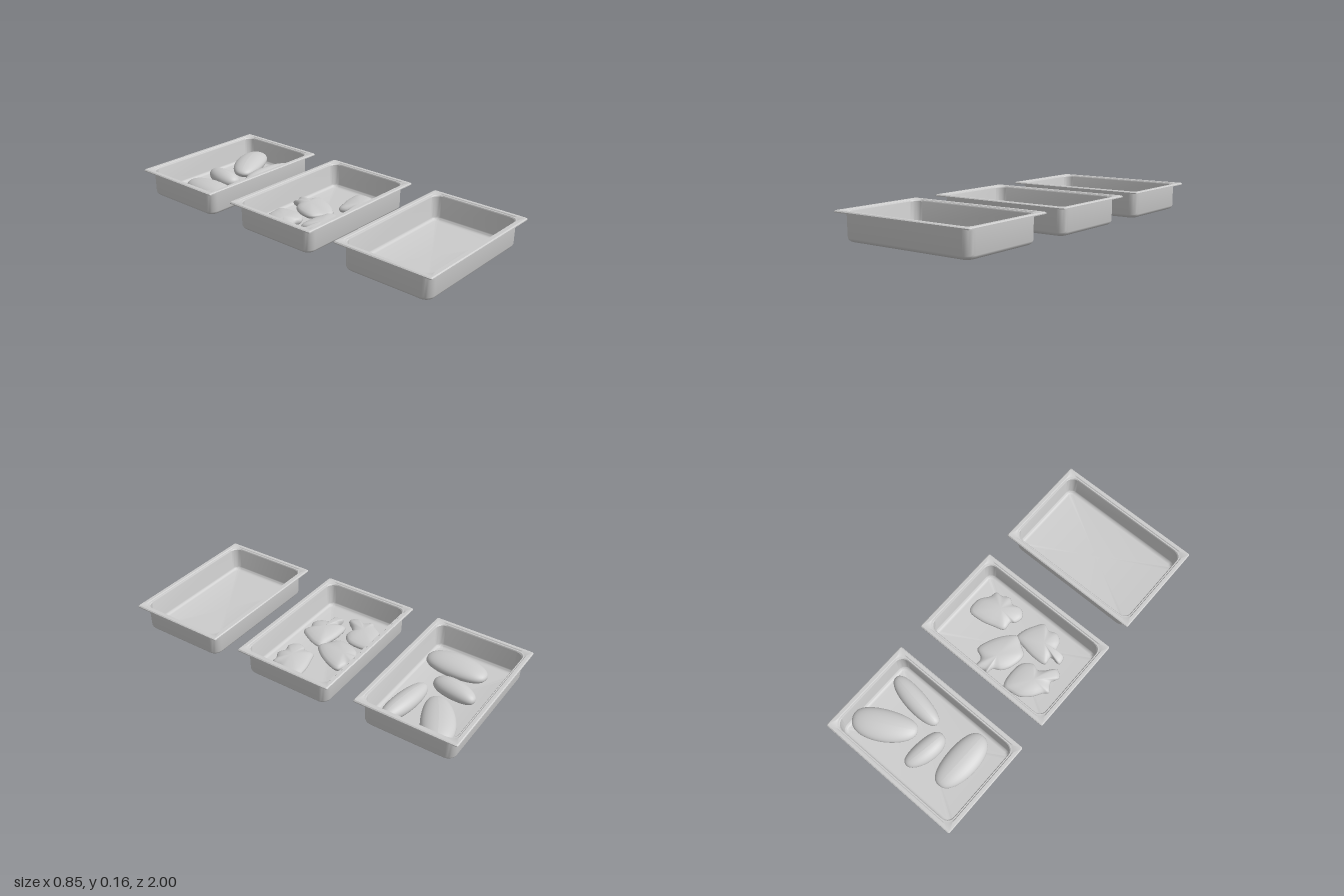
import * as THREE from 'three';
import { mergeVertices, toCreasedNormals } from 'three/addons/utils/BufferGeometryUtils.js';

const HALF_X = 0.425, HALF_Z = 0.283, SPACING = 0.717, FLOOR = 0.006;
const grey = new THREE.MeshStandardMaterial({ color: 0xcccccc });

function addMesh(parent, name, geometry) {
  const mesh = new THREE.Mesh(geometry, grey);
  mesh.name = name;
  parent.add(mesh);
  return mesh;
}

// Skin a stack of equal-length loops, each running counter-clockwise from above
function loft(loops) {
  const n = loops[0].length, index = [];
  for (let k = 0; k < loops.length - 1; k++) {
    for (let i = 0; i < n; i++) {
      const j = (i + 1) % n, a = k * n + i, b = k * n + j;
      if (k > 0) index.push(a, b, b + n);
      if (k < loops.length - 2) index.push(a, b + n, a + n);
      else if (k === 0) index.push(a, b, b + n);
    }
  }
  // the first loop is a single point
  for (let i = 0; i < n; i++) index.push(i, n + (i + 1) % n, n + i);
  const geometry = new THREE.BufferGeometry().setFromPoints(loops.flat());
  geometry.setIndex(dedupe(index));
  const merged = mergeVertices(geometry, 1e-5);
  merged.computeVertexNormals();
  return merged;
}

// Drop repeated triangles
function dedupe(index) {
  const seen = new Set(), out = [];
  for (let i = 0; i < index.length; i += 3) {
    const tri = index.slice(i, i + 3), key = [...tri].sort((p, q) => p - q).join();
    if (!seen.has(key)) out.push(...tri);
    seen.add(key);
  }
  return out;
}

// Rounded rectangle, inset from the rim edge
function rectLoop(inset, y, radius, steps = 8) {
  const loop = [], cx = HALF_X - inset - radius, cz = HALF_Z - inset - radius;
  [[1, 1], [-1, 1], [-1, -1], [1, -1]].forEach(([sx, sz], q) => {
    for (let i = 0; i <= steps; i++) {
      const t = (q + i / steps) * Math.PI / 2;
      loop.push(new THREE.Vector3(sx * cx + radius * Math.cos(t), y, -sz * cz - radius * Math.sin(t)));
    }
  });
  return loop;
}

// Thin pan: outside upwards, over the stepped rim, down the inside
function panGeometry() {
  const outer = [], inner = [];
  for (let i = 0; i <= 6; i++) {
    const t = i / 6 * Math.PI / 2, s = 1 - Math.sin(t), c = 1 - Math.cos(t);
    outer.push(rectLoop(0.031 + 0.028 * s, 0.028 * c, 0.05 - 0.025 * s));
    inner.unshift(rectLoop(0.037 + 0.024 * s, FLOOR + 0.024 * c, 0.045 - 0.022 * s));
  }
  const rim = [
    [0.03, 0.145, 0.05], [0, 0.145, 0.008], [0, 0.15, 0.008], [0.005, 0.155, 0.008],
    [0.022, 0.155, 0.035], [0.026, 0.15, 0.045], [0.032, 0.15, 0.045], [0.036, 0.144, 0.045],
  ].map(([d, y, r]) => rectLoop(d, y, r));
  const point = (y) => outer[0].map(() => new THREE.Vector3(0, y, 0));
  return toCreasedNormals(loft([point(0), ...outer, ...rim, ...inner, point(FLOOR)]), 0.6);
}

// Blunt oval, tapered and slightly bent along x
function ovalGeometry(length, height, width, taper, bend) {
  const geometry = new THREE.SphereGeometry(1, 32, 24).rotateZ(-Math.PI / 2);
  const p = geometry.attributes.position;
  for (let i = 0; i < p.count; i++) {
    const x = p.getX(i), r = Math.sqrt(Math.max(1 - x * x, 1e-6));
    const fat = Math.pow(r, -0.2) * (1 + taper * x);
    p.setXYZ(i, x * length, p.getY(i) * fat * height, p.getZ(i) * fat * width + bend * (x * x - 0.4));
  }
  geometry.computeVertexNormals();
  return geometry;
}

// Flat, pillowy piece from an outline in hundredths of a unit
function pieceGeometry(outline) {
  const pts = outline.map(([x, z]) => new THREE.Vector3(x / 100, 0, z / 100)).reverse();
  const ring = new THREE.CatmullRomCurve3(pts, true, 'centripetal').getPoints(72).slice(0, -1);
  const centre = new THREE.Vector3();
  ring.forEach((v) => centre.addScaledVector(v, 1 / ring.length));
  const levels = [[0, 0], [0.8, 0.001], [0.94, 0.008], [1, 0.019], [0.97, 0.028],
    [0.88, 0.036], [0.7, 0.043], [0.45, 0.048], [0.2, 0.05], [0, 0.05]];
  return loft(levels.map(([s, y]) => ring.map((v) => {
    const q = centre.clone().lerp(v, s);
    q.y = FLOOR + y;
    return q;
  })));
}

export function createModel() {
  const model = new THREE.Group();
  model.name = 'foodPans';

  // Three identical pans in a row
  const pan = panGeometry();
  const [backTray, middleTray, frontTray] = ['back', 'middle', 'front'].map((place, i) => {
    const tray = new THREE.Group();
    tray.name = place + 'Tray';
    tray.position.z = (i - 1) * SPACING;
    addMesh(tray, place + 'Pan', pan);
    model.add(tray);
    return tray;
  });

  // Oval pieces: x, z, turn in degrees, half length, half width, taper, bend
  [
    [-0.213, 0.042, 89, 0.172, 0.087, -0.04, 0.006],
    [-0.032, -0.04, 80, 0.124, 0.06, -0.1, 0.008],
    [0.222, -0.078, 28, 0.178, 0.088, 0.1, 0.008],
    [0.186, 0.127, -8, 0.173, 0.058, 0.04, 0.004],
  ].forEach(([x, z, turn, length, width, taper, bend], i) => {
    const height = 0.047;
    const oval = addMesh(backTray, 'ovalPiece' + (i + 1), ovalGeometry(length, height, width, taper, bend));
    oval.position.set(x, FLOOR + height, z);
    oval.rotation.y = THREE.MathUtils.degToRad(turn);
  });

  // Flat irregular pieces
  [
    [[-11, -22], [-9, -16], [-10, -6], [-15, -2], [-19, -3], [-22, -1], [-27, 4], [-31, 1],
      [-29, -4], [-32, -9], [-30, -11], [-26, -17], [-21, -21], [-16, -22]],
    [[1, -23], [3, -22], [8, -24], [9, -18], [14, -15], [12, -7], [7, 1], [2, 5],
      [-3, 2], [-8, -2], [-7, -11], [-4, -16], [0, -18.5]],
    [[-20, 2], [-13, 1], [-5, 2], [2, 4], [2, 8], [-1, 15], [-5, 20], [-9, 18.5],
      [-14, 20], [-18, 17], [-20, 12], [-25, 12], [-26, 7], [-20, 7]],
    [[32, -1], [33, 7], [29, 13], [28, 17], [24, 17.5], [20, 19.5], [16, 17.5], [11, 18.5],
      [7, 15], [8, 10], [10, 8.5], [10, 3], [16, 0.5], [24, -1.5]],
  ].forEach((outline, i) => addMesh(middleTray, 'flatPiece' + (i + 1), pieceGeometry(outline)));

  return model;
}
